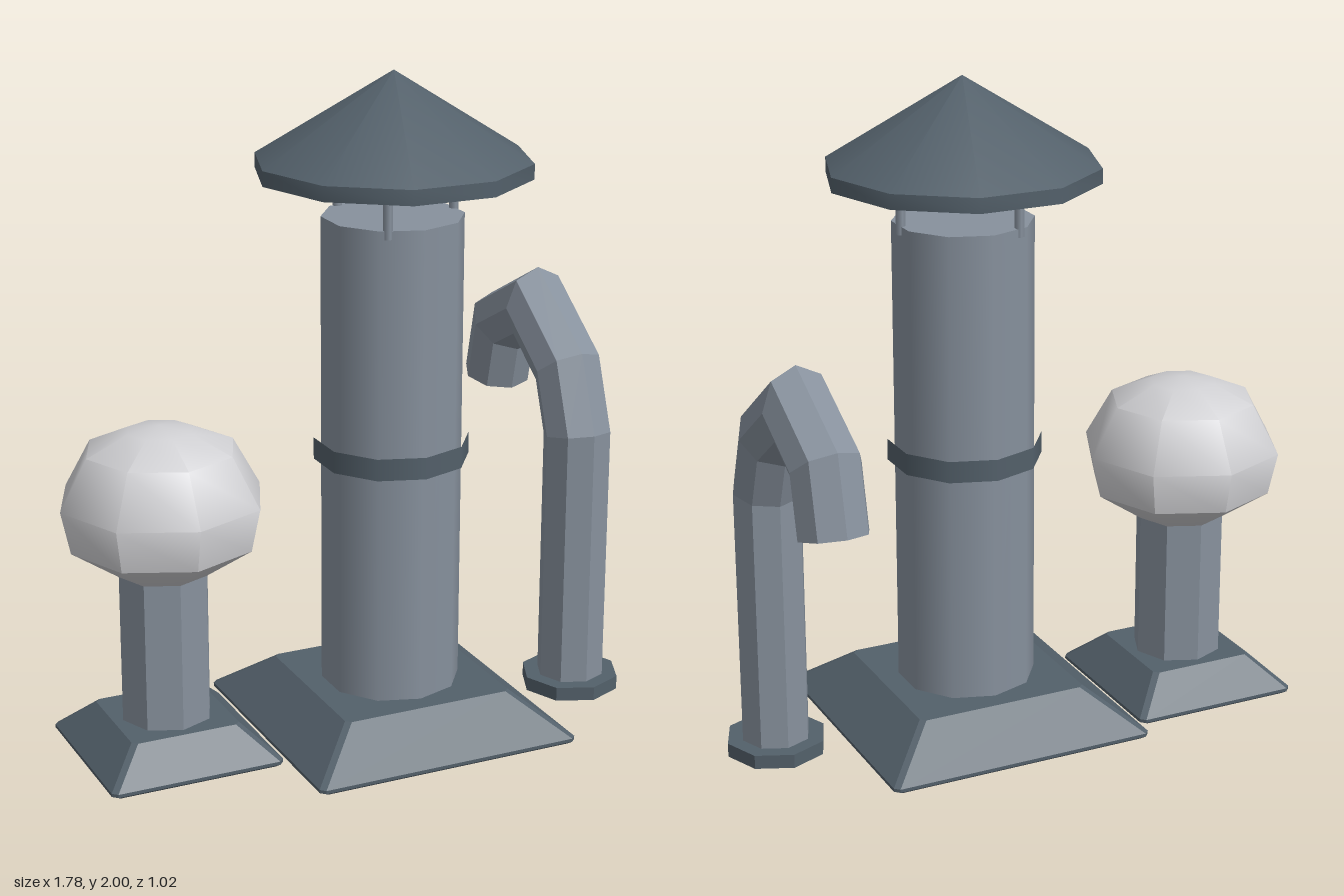
import * as THREE from 'three';
import { toCreasedNormals } from 'three/addons/utils/BufferGeometryUtils.js';

const CREASE = 0.7;

// Flat-faced skin over a list of equal-length rings, closed at both ends.
// Rings run counter-clockwise as seen from the far end of the path.
function loft(rings) {
  const pos = [];
  const tri = (...pts) => pts.forEach((p) => pos.push(p.x, p.y, p.z));
  const n = rings[0].length;
  for (let i = 0; i < rings.length - 1; i++) {
    const a = rings[i], b = rings[i + 1];
    for (let j = 0; j < n; j++) {
      const k = (j + 1) % n;
      tri(a[j], a[k], b[k]);
      tri(a[j], b[k], b[j]);
    }
  }
  const first = rings[0], last = rings[rings.length - 1];
  for (let j = 1; j < n - 1; j++) {
    tri(first[0], first[j + 1], first[j]);
    tri(last[0], last[j], last[j + 1]);
  }
  const g = new THREE.BufferGeometry();
  g.setAttribute('position', new THREE.Float32BufferAttribute(pos, 3));
  g.computeVertexNormals();
  return g;
}

// Square ring with small cut corners
function squareRing(half, y, cut = 0.015) {
  const h = half, c = half - cut;
  return [[h, c], [c, h], [-c, h], [-h, c], [-h, -c], [-c, -h], [c, -h], [h, -c]]
    .map(([x, v]) => new THREE.Vector3(x, y, -v));
}

// Sloped square foot with a thin lip
const foot = (half, topHalf, height) => loft([
  squareRing(half - 0.01, 0),
  squareRing(half, 0.008),
  squareRing(half, 0.018),
  squareRing(topHalf, height),
]);

// Octagonal tube along a bent path in the yz plane, with mitred joints
function bentTube(path, radius, sides) {
  const pts = path.map(([y, z]) => new THREE.Vector3(0, y, z));
  const across = pts.slice(1).map((p, i) => {
    const t = p.clone().sub(pts[i]).normalize();
    return new THREE.Vector3(0, -t.z, t.y);
  });
  return loft(pts.map((p, i) => {
    const m1 = across[Math.max(i - 1, 0)];
    const m2 = across[Math.min(i, across.length - 1)];
    const m = m1.clone().add(m2).normalize();
    m.divideScalar(m.dot(m1));
    return Array.from({ length: sides }, (_, j) => {
      const a = (j / sides) * Math.PI * 2;
      return p.clone().addScaledVector(m, -radius * Math.sin(a))
        .add(new THREE.Vector3(radius * Math.cos(a), 0, 0));
    });
  }));
}

// Turned shape: smooth on gentle bends, sharp on strong ones
const turned = (profile, sides) => toCreasedNormals(
  new THREE.LatheGeometry(profile.map(([r, y]) => new THREE.Vector2(r, y)), sides), CREASE);

export function createModel() {
  const pipe = new THREE.MeshStandardMaterial({ color: 0x87919d });
  pipe.name = 'pipe grey';
  const slate = new THREE.MeshStandardMaterial({ color: 0x53606a });
  slate.name = 'dark slate';
  const pale = new THREE.MeshStandardMaterial({ color: 0xcfcfd2 });
  pale.name = 'pale metal';

  const model = new THREE.Group();
  model.name = 'roofVents';

  const group = (name, x, z) => {
    const g = new THREE.Group();
    g.name = name;
    g.position.set(x, 0, z);
    model.add(g);
    return g;
  };
  const add = (parent, name, geometry, material, x = 0, y = 0, z = 0) => {
    const mesh = new THREE.Mesh(geometry, material);
    mesh.name = name;
    mesh.position.set(x, y, z);
    parent.add(mesh);
    return mesh;
  };

  // Tall chimney stack with a conical rain cap
  const chimney = group('chimney', 0.115, 0.085);
  add(chimney, 'chimneyFoot', foot(0.42, 0.27, 0.14), slate);
  add(chimney, 'chimneyPipe', new THREE.CylinderGeometry(0.21, 0.21, 1.45, 10), pipe, 0, 0.855);
  // Loose collar, open at both ends
  add(chimney, 'collar', new THREE.CylinderGeometry(0.232, 0.232, 0.066, 10, 1, true), slate, 0, 0.877);
  for (let i = 0; i < 3; i++) {
    const a = (i / 3) * Math.PI * 2;
    add(chimney, 'capStrut', new THREE.CylinderGeometry(0.014, 0.014, 0.155, 6), pipe,
      0.197 * Math.cos(a), 1.6325, 0.197 * Math.sin(a));
  }
  const cap = turned([[0, 1.7], [0.407, 1.7], [0.407, 1.745], [0, 2]], 10);
  add(chimney, 'rainCap', cap, slate).rotation.y = Math.PI / 2;

  // Short vent with a rounded turbine head
  const turbine = group('turbineVent', -0.587, 0.01);
  add(turbine, 'turbineFoot', foot(0.267, 0.168, 0.115), slate);
  add(turbine, 'turbinePost',
    toCreasedNormals(new THREE.CylinderGeometry(0.138, 0.138, 0.47, 8), CREASE), pipe, 0, 0.34);
  add(turbine, 'turbineHead', turned([
    [0, 0.57], [0.138, 0.57], [0.28, 0.665], [0.308, 0.795], [0.225, 0.945], [0.1, 1.0], [0, 1.016],
  ], 8), pale);

  // Gooseneck pipe, bent over towards the back
  const gooseneck = group('gooseneckVent', 0.736, 0.11);
  add(gooseneck, 'gooseneckFlange',
    toCreasedNormals(new THREE.CylinderGeometry(0.153, 0.153, 0.043, 8), CREASE), slate, 0, 0.0215);
  add(gooseneck, 'gooseneckPipe', bentTube([
    [0.01, 0], [0.835, 0], [1.025, -0.07], [1.172, -0.275], [1.067, -0.475], [0.882, -0.52],
  ], 0.105, 8), pipe);

  return model;
}
